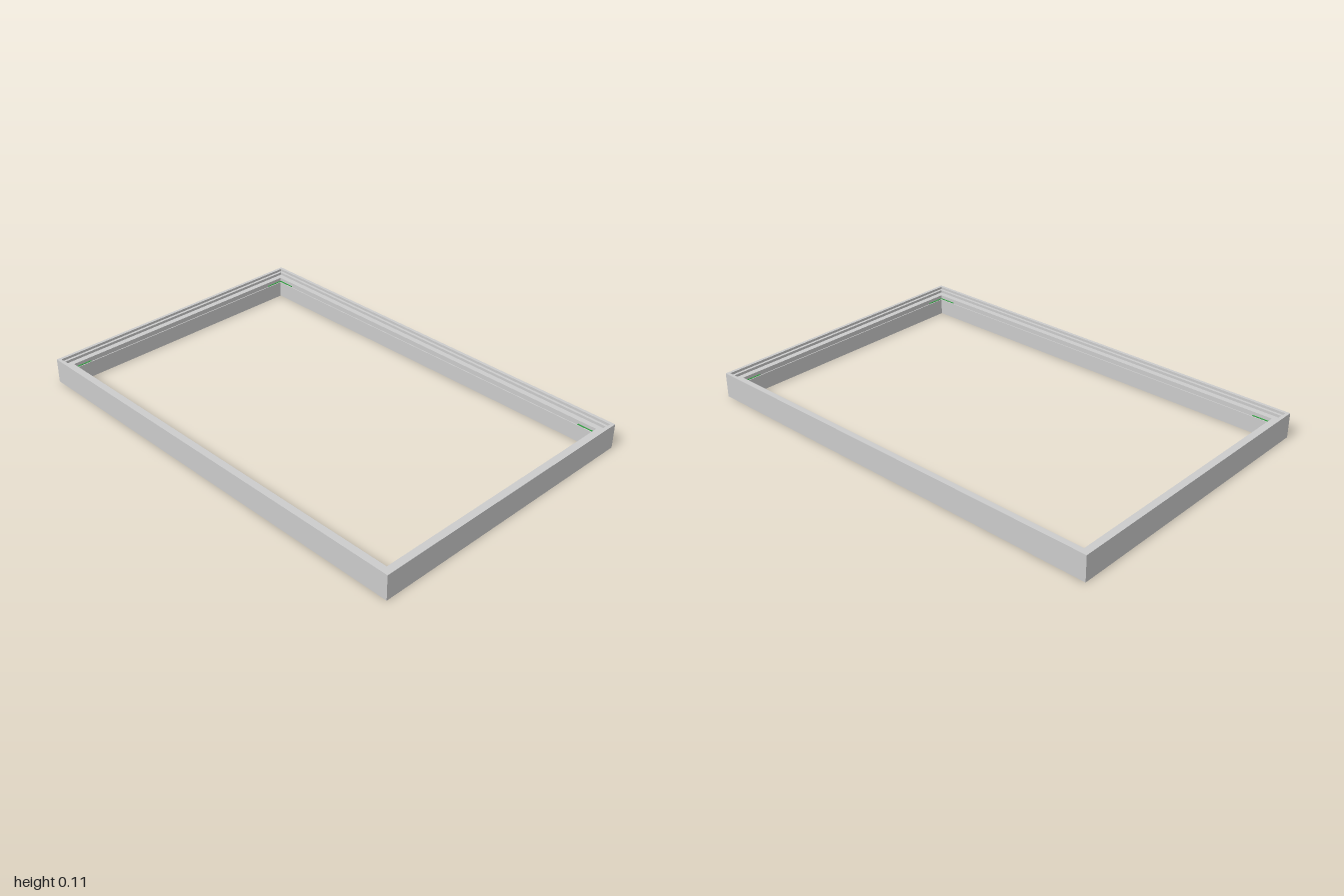
import * as THREE from 'three';

const HALF_X = 0.665, HALF_Z = 1, HEIGHT = 0.113;

// Sweep a closed [inset, height] profile round the rectangle with mitred corners
function mitredFrame(profile) {
  const corners = [[1, 1], [1, -1], [-1, -1], [-1, 1]];
  const at = ([sx, sz], [inset, y]) => [sx * (HALF_X - inset), y, sz * (HALF_Z - inset)];
  const pos = [];
  corners.forEach((c0, i) => {
    const c1 = corners[(i + 1) % 4];
    profile.forEach((p, j) => {
      const q = profile[(j + 1) % profile.length];
      const a = at(c0, p), b = at(c1, p), c = at(c1, q), d = at(c0, q);
      pos.push(...a, ...b, ...c, ...a, ...c, ...d);
    });
  });
  const g = new THREE.BufferGeometry();
  g.setAttribute('position', new THREE.Float32BufferAttribute(pos, 3));
  g.computeVertexNormals();
  return g;
}

export function createModel() {
  const model = new THREE.Group();
  const grey = new THREE.MeshStandardMaterial({ color: 0xcccccc, flatShading: true });
  const green = new THREE.MeshStandardMaterial({ color: 0x2e9e3e });

  // Stepped rail: tall outer wall, two rebates, key groove, thin inner lip
  const profile = [
    [0, 0], [0, HEIGHT],
    [0.014, HEIGHT], [0.014, 0.102],
    [0.026, 0.102], [0.026, 0.09],
    [0.052, 0.09], [0.052, 0.066],
    [0.06, 0.066], [0.06, 0.074],
    [0.064, 0.074], [0.064, 0],
  ];
  const frame = new THREE.Mesh(mitredFrame(profile), grey);
  frame.name = 'steppedFrame';
  model.add(frame);

  // L-shaped corner keys lying in the groove
  const leg = 0.085, w = 0.006, h = 0.009, inset = 0.053;
  for (const sx of [1, -1]) for (const sz of [1, -1]) {
    const key = new THREE.Group();
    key.name = 'cornerKey';
    const alongX = new THREE.Mesh(new THREE.BoxGeometry(leg, h, w), green);
    alongX.position.set(-sx * leg / 2, 0, -sz * w / 2);
    const alongZ = new THREE.Mesh(new THREE.BoxGeometry(w, h, leg - w), green);
    alongZ.position.set(-sx * w / 2, 0, -sz * (leg + w) / 2);
    alongX.name = 'keyLegAcross';
    alongZ.name = 'keyLegAlong';
    key.add(alongX, alongZ);
    key.position.set(sx * (HALF_X - inset), 0.066 + h / 2, sz * (HALF_Z - inset));
    model.add(key);
  }
  return model;
}
